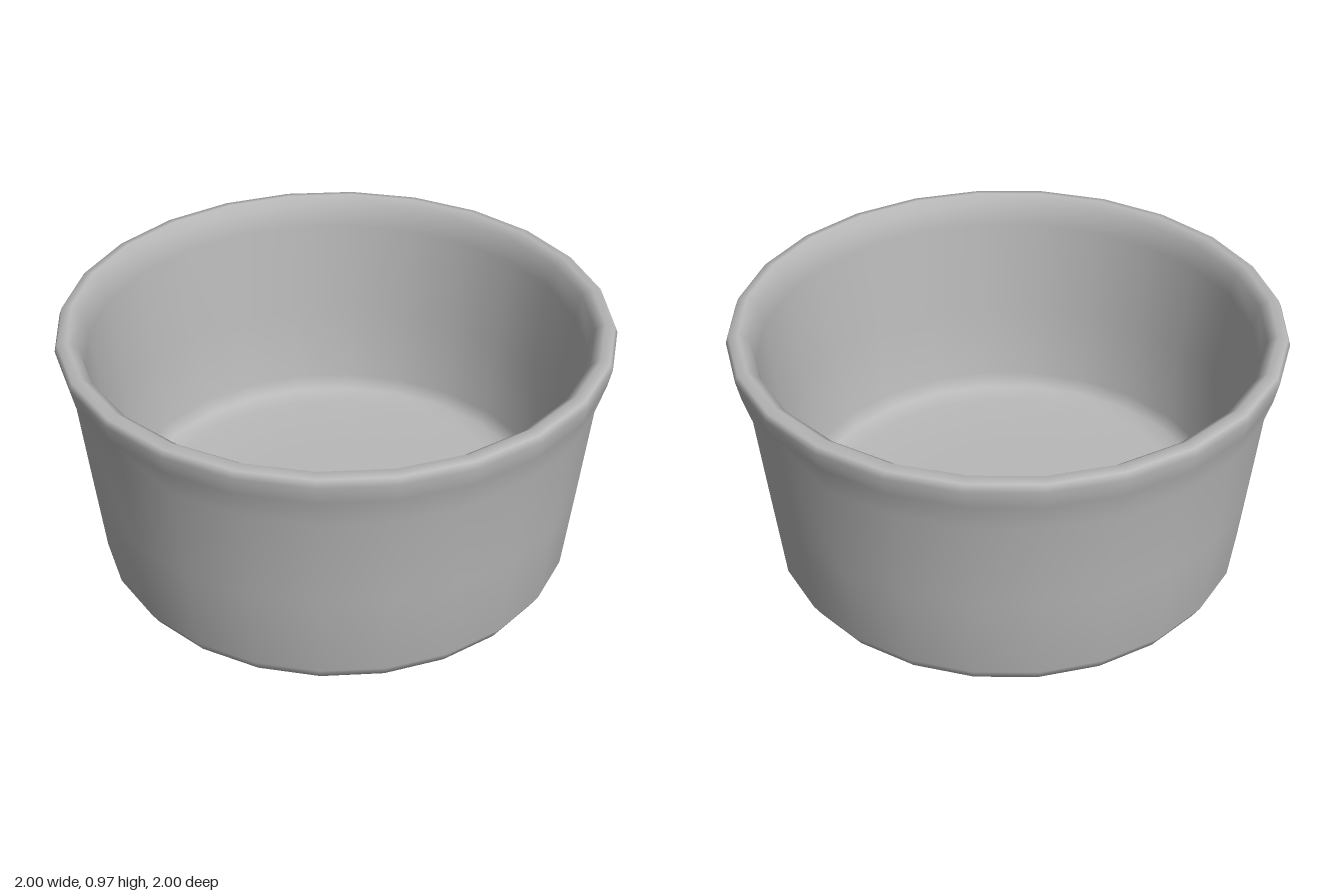
import * as THREE from 'three';

const SIDES = 24;

// Revolve a [radius, height] profile, listed so that faces point outwards
function revolve(name, profile, material) {
  const points = profile.map(([r, y]) => new THREE.Vector2(r, y));
  const mesh = new THREE.Mesh(new THREE.LatheGeometry(points, SIDES), material);
  mesh.name = name;
  return mesh;
}

export function createModel() {
  const group = new THREE.Group();
  group.name = 'bowl';
  const grey = new THREE.MeshStandardMaterial({ color: 0xb8b8b8 });
  grey.name = 'plain grey';

  // One continuous shell: hollowed underside, tapered wall, flared lip, inner wall, floor
  group.add(revolve('bowlShell', [
    [0, 0.035],
    [0.5, 0.032],
    [0.7, 0.018],
    [0.8, 0.0],
    [0.85, 0.02],
    [0.88, 0.07],
    [0.915, 0.4],
    [0.952, 0.76],
    [0.985, 0.87],
    [1.0, 0.94],
    [0.99, 0.965],
    [0.955, 0.972],
    [0.92, 0.945],
    [0.9, 0.86],
    [0.86, 0.5],
    [0.815, 0.2],
    [0.785, 0.15],
    [0.72, 0.125],
    [0.4, 0.12],
    [0, 0.12],
  ], grey));

  return group;
}
